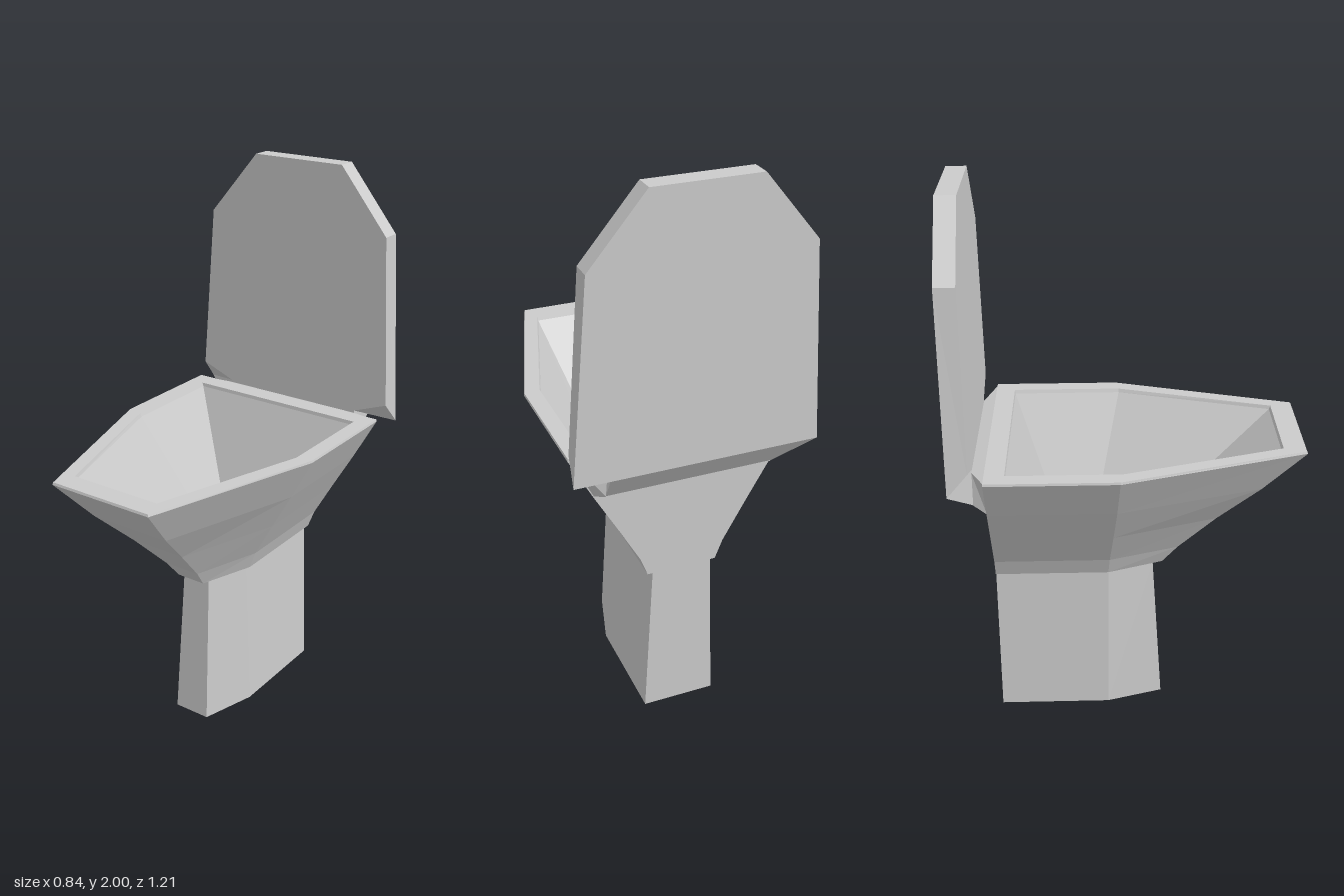
import * as THREE from 'three';

const material = new THREE.MeshStandardMaterial({ color: 0xcccccc, flatShading: true });

// Skins a list of equal-length rings (counter-clockwise seen along the loft) and caps both ends.
function loft(name, rings) {
  const pos = [];
  const tri = (...points) => points.forEach((p) => pos.push(p.x, p.y, p.z));
  const centre = (ring) =>
    ring.reduce((sum, p) => sum.add(p), new THREE.Vector3()).divideScalar(ring.length);
  const n = ring0Length(rings);
  for (let i = 0; i < n; i++) {
    const j = (i + 1) % n;
    for (let r = 0; r < rings.length - 1; r++) {
      const a = rings[r], b = rings[r + 1];
      tri(a[i], a[j], b[j]);
      tri(a[i], b[j], b[i]);
    }
    const first = rings[0], last = rings[rings.length - 1];
    tri(centre(first), first[j], first[i]);
    tri(centre(last), last[i], last[j]);
  }
  const geometry = new THREE.BufferGeometry();
  geometry.setAttribute('position', new THREE.Float32BufferAttribute(pos, 3));
  geometry.computeVertexNormals();
  const mesh = new THREE.Mesh(geometry, material);
  mesh.name = name;
  return mesh;
}

function ring0Length(rings) {
  return rings[0].length;
}

// Horizontal six-sided section: straight back half, tapering front half.
function plan(y, width, back, middle, frontWidth, front) {
  return [
    [width, back], [-width, back], [-width, middle],
    [-frontWidth, front], [frontWidth, front], [width, middle],
  ].map(([x, z]) => new THREE.Vector3(x, y, z));
}

// Upright symmetric section from its right half, listed bottom to top.
function elevation(z, half) {
  const left = half.map(([x, y]) => [-x, y]).reverse();
  return [...half, ...left].map(([x, y]) => new THREE.Vector3(x, y, z));
}

export function createModel() {
  const model = new THREE.Group();
  model.name = 'toilet';

  // Tapered foot
  model.add(loft('pedestal', [
    plan(0, 0.13, -0.49, -0.085, 0.07, 0.12),
    plan(0.585, 0.107, -0.49, -0.08, 0.055, 0.085),
  ]));

  // Outer shell, flat rim and hollow inside in one skin
  model.add(loft('bowl', [
    plan(0.585, 0.125, -0.49, -0.08, 0.055, 0.12),
    plan(0.655, 0.152, -0.49, -0.075, 0.07, 0.175),
    plan(0.795, 0.23, -0.49, -0.062, 0.105, 0.31),
    plan(0.94, 0.313, -0.49, -0.05, 0.155, 0.46),
    plan(1.1, 0.4, -0.49, -0.04, 0.2, 0.605),
    plan(1.108, 0.398, -0.49, -0.04, 0.198, 0.602),
    plan(1.108, 0.342, -0.422, -0.03, 0.172, 0.525),
    plan(1.095, 0.337, -0.42, -0.03, 0.17, 0.52),
    plan(0.68, 0.117, -0.26, -0.125, 0.057, 0.065),
  ]));

  // Raised lid with a sloping underside
  model.add(loft('lid', [
    elevation(-0.605, [[0.3, 1.07], [0.42, 1.07], [0.42, 1.07], [0.37, 1.77], [0.18, 2]]),
    elevation(-0.535, [[0.29, 0.97], [0.28, 1.1], [0.41, 1.15], [0.37, 1.77], [0.18, 2]]),
  ]));

  // Flared neck joining lid and bowl
  model.add(loft('hinge', [
    elevation(-0.537, [[0.29, 0.97], [0.28, 1.09]]),
    elevation(-0.488, [[0.315, 0.947], [0.393, 1.105]]),
  ]));

  return model;
}
